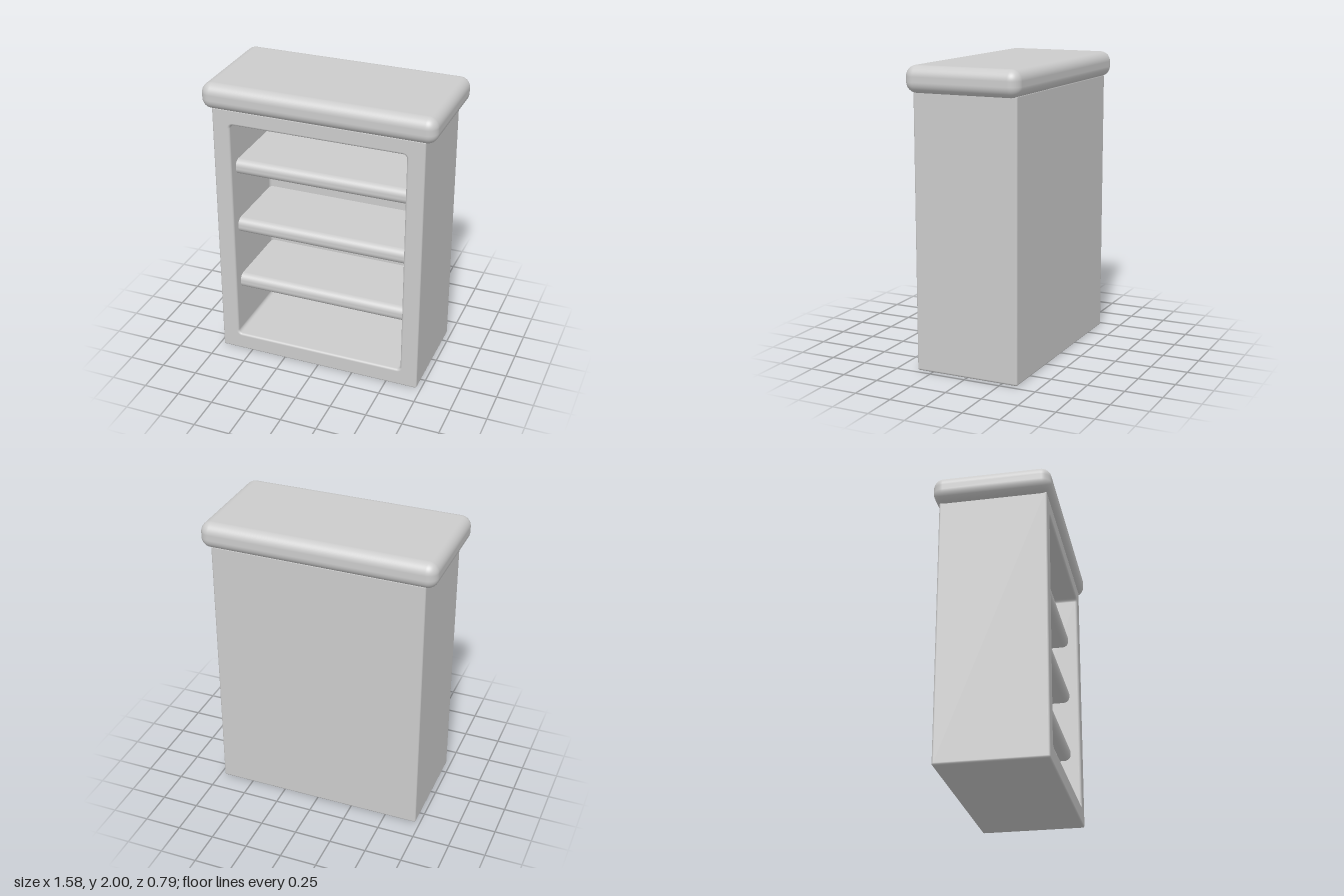
import * as THREE from 'three';
import { RoundedBoxGeometry } from 'three/addons/geometries/RoundedBoxGeometry.js';

const material = new THREE.MeshStandardMaterial({ color: 0xcccccc });
const CORNER_STEPS = 5;

function addMesh(parent, name, geometry, x = 0, y = 0, z = 0) {
  const mesh = new THREE.Mesh(geometry, material);
  mesh.name = name;
  mesh.position.set(x, y, z);
  parent.add(mesh);
  return mesh;
}

// Ring of a rounded rectangle: core = corner centres, radius = corner radius,
// out / nz = outward and z parts of the surface normal.
const ring = (core, radius, z, out, nz) => ({ core, radius, z, out, nz });

// Quarter-round rings from angle a0 to a1 (0 = facing outward, PI/2 = facing +z)
function fillet(core, radius, z, size, a0, a1, sign = 1) {
  const rings = [];
  for (let i = 0; i <= 4; i++) {
    const a = a0 + (a1 - a0) * i / 4;
    const c = Math.cos(a), s = Math.sin(a);
    rings.push(ring(core, radius + sign * size * c, z + sign * size * s, c, s));
  }
  return rings;
}

// Skin over successive rings, with exact normals
function loft(rings) {
  const pos = [], nor = [], idx = [];
  const count = 4 * (CORNER_STEPS + 1);
  for (const { core, radius, z, out, nz } of rings) {
    for (let q = 0; q < 4; q++) {
      const cx = (q === 0 || q === 3) ? core.x : -core.x;
      const cy = q < 2 ? core.top : core.bottom;
      for (let k = 0; k <= CORNER_STEPS; k++) {
        const a = (q + k / CORNER_STEPS) * Math.PI / 2;
        pos.push(cx + radius * Math.cos(a), cy + radius * Math.sin(a), z);
        nor.push(out * Math.cos(a), out * Math.sin(a), nz);
      }
    }
  }
  for (let i = 0; i < rings.length - 1; i++) {
    for (let j = 0; j < count; j++) {
      const a = i * count + j, b = i * count + (j + 1) % count;
      idx.push(a, b, a + count, b, b + count, a + count);
    }
  }
  const g = new THREE.BufferGeometry();
  g.setAttribute('position', new THREE.Float32BufferAttribute(pos, 3));
  g.setAttribute('normal', new THREE.Float32BufferAttribute(nor, 3));
  g.setIndex(idx);
  return g;
}

// Hollow case: back, sides, front frame, then into the opening to its back wall
function caseGeometry() {
  const H = Math.PI / 2;
  const outer = { x: 0.705, bottom: 0.015, top: 1.825 };
  const inner = { x: 0.575, bottom: 0.145, top: 1.705 };
  const middle = { x: 0, bottom: 0.92, top: 0.92 };
  const e = 0.012, f = 0.016, r = 0.025;
  return loft([
    ring(middle, 0, -0.36, 0, -1),
    ...fillet(outer, 0.015 - e, -0.36 + e, e, -H, 0),
    ...fillet(outer, 0.015 - e, 0.36 - e, e, 0, H),
    ...fillet(inner, r + f, 0.36 - f, f, H, Math.PI),
    // concave round where the walls meet the back
    ...fillet(inner, 0, -0.24 + r, r, Math.PI, H, -1),
    ring(middle, 0, -0.24, 0, 1),
  ]);
}

export function createModel() {
  const bookcase = new THREE.Group();
  bookcase.name = 'bookcase';

  addMesh(bookcase, 'case', caseGeometry());

  // Thick cushioned top
  addMesh(bookcase, 'top', new RoundedBoxGeometry(1.58, 0.175, 0.79, 6, 0.07), 0, 1.9125, 0);

  // Shelves set back from the front, with ends let into the walls
  const shelves = new THREE.Group();
  shelves.name = 'shelves';
  bookcase.add(shelves);
  for (let i = 0; i < 3; i++) {
    addMesh(shelves, 'shelf' + (i + 1),
      new RoundedBoxGeometry(1.32, 0.105, 0.59, 6, 0.045), 0, 0.51 + i * 0.441, -0.005);
  }
  return bookcase;
}
